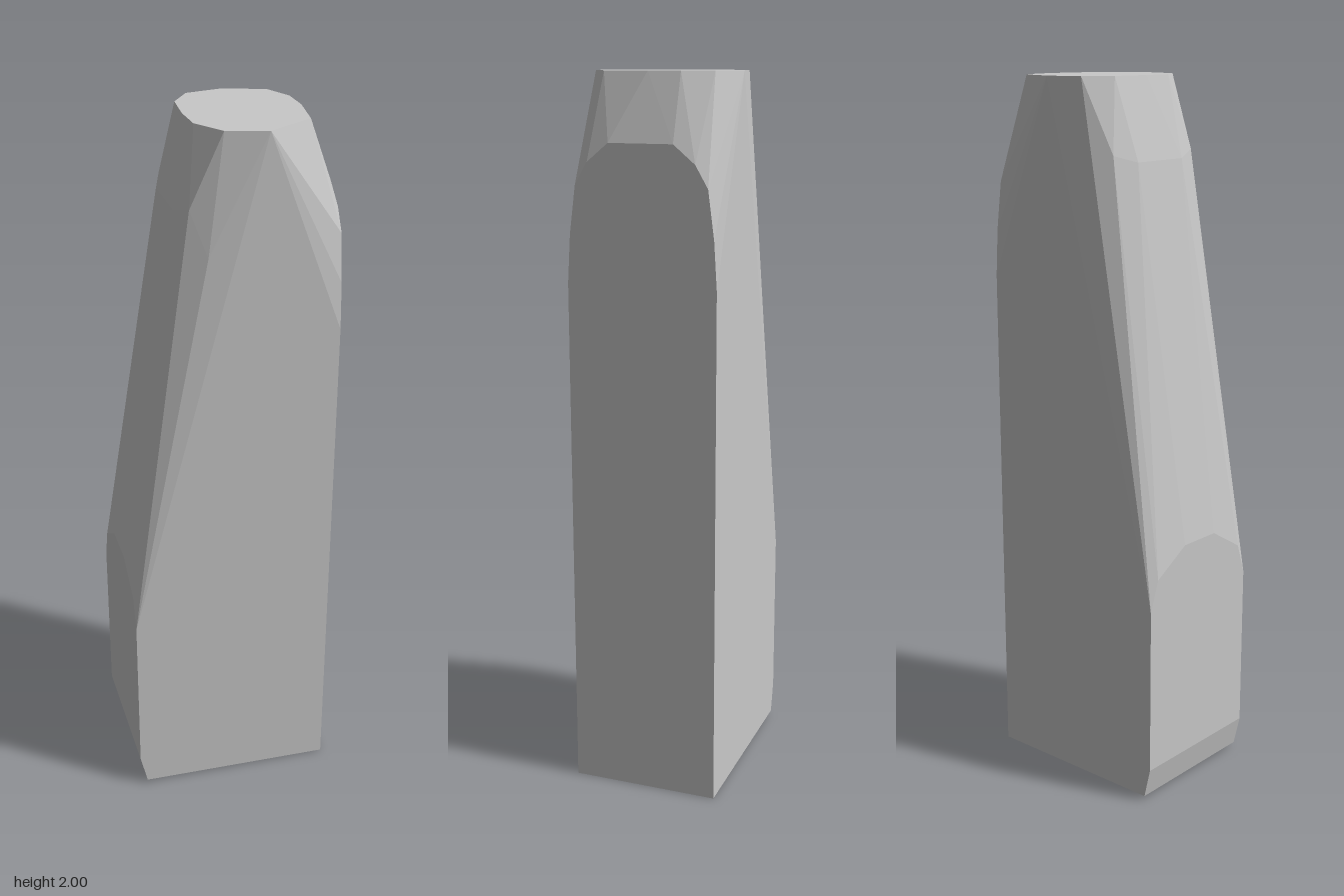
import * as THREE from 'three';
import { ConvexGeometry } from 'three/addons/geometries/ConvexGeometry.js';

export function createModel() {
  const group = new THREE.Group();
  const stone = new THREE.MeshStandardMaterial({ color: 0xc8c8c8 });
  stone.name = 'palegrey';

  const points = [];
  const add = (x, y, z) => points.push(new THREE.Vector3(x, y, z));
  const pair = (x, y, z) => { add(x, y, z); add(x, y, -z); };

  // base with a small chamfer on the sloping side
  pair(0.29, 0, 0.21);
  pair(-0.27, 0.012, 0.21);
  pair(-0.29, 0.1, 0.21);

  // foot of the long slope
  pair(-0.29, 0.58, 0.21);
  pair(-0.29, 0.67, 0.18);
  pair(-0.29, 0.74, 0.065);

  // shoulder where the slope steepens, and its rounded corners
  pair(-0.135, 1.78, 0.09);
  pair(-0.11, 1.8, 0.16);
  pair(-0.07, 1.68, 0.197);

  // arched upper edge of the upright side
  const arch = [[1.45, 0.21], [1.58, 0.202], [1.71, 0.185], [1.77, 0.15], [1.82, 0.09]];
  for (const [y, z] of arch) pair(0.29, y, z);

  // irregular flat top
  const top = [
    [-0.084, 0], [-0.075, -0.115], [-0.025, -0.19], [0.08, -0.21], [0.195, -0.17],
    [0.232, -0.09], [0.234, 0], [0.215, 0.13], [0.085, 0.21], [-0.025, 0.18], [-0.08, 0.095],
  ];
  for (const [x, z] of top) add(x, 2, z);

  const block = new THREE.Mesh(new ConvexGeometry(points), stone);
  block.name = 'standingStone';
  group.add(block);
  return group;
}
